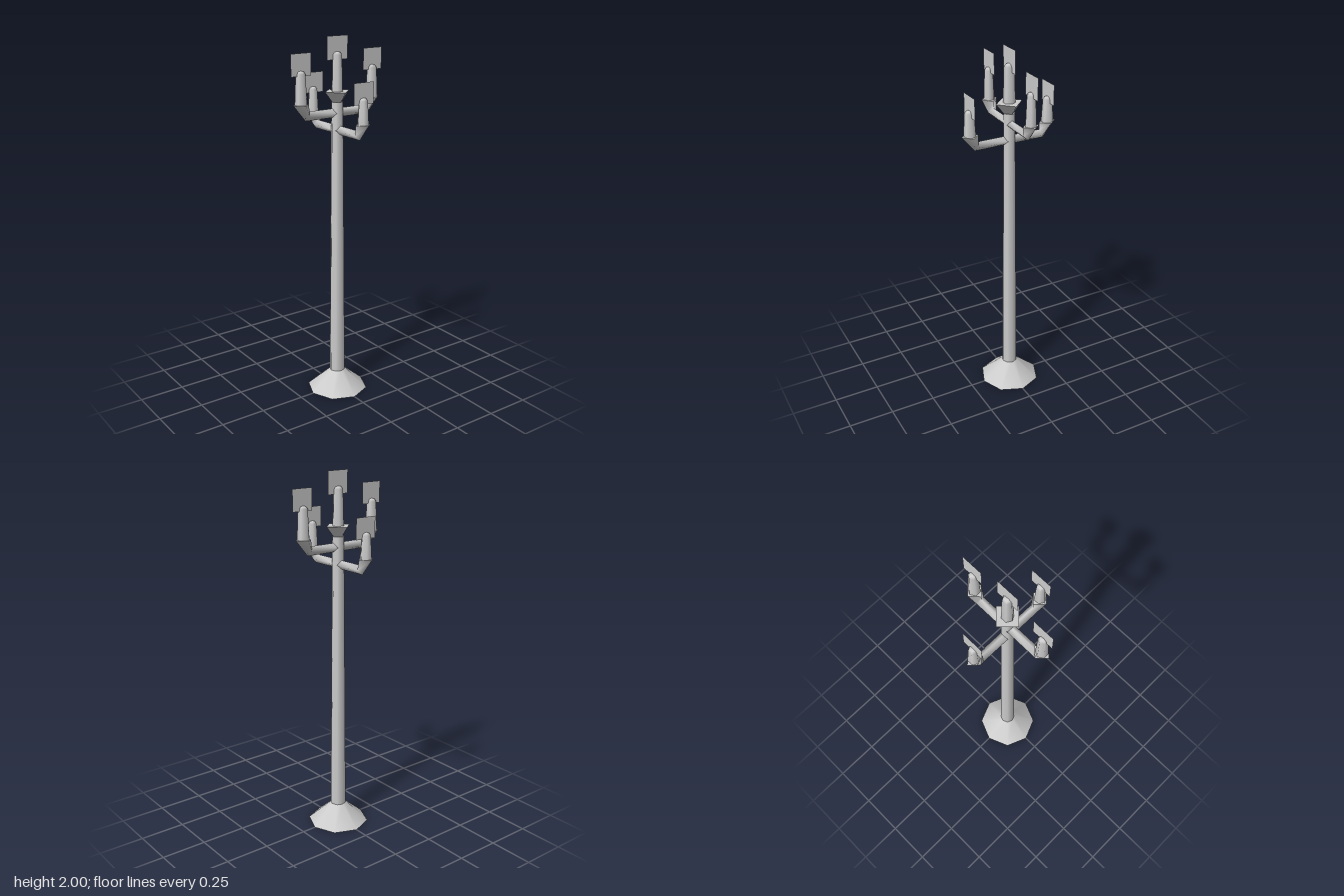
import * as THREE from 'three';

const metal = new THREE.MeshStandardMaterial({ color: 0xcccccc, side: THREE.DoubleSide });
metal.name = 'grey';

function add(parent, name, geometry, x = 0, y = 0, z = 0) {
  const mesh = new THREE.Mesh(geometry, metal);
  mesh.name = name;
  mesh.position.set(x, y, z);
  parent.add(mesh);
  return mesh;
}

// Diamond-section tube: each ring lists top, front, bottom, back corners
function armGeometry() {
  const ring = (tx, ty, bx, by, w) => [
    [tx, ty, 0], [(tx + bx) / 2, (ty + by) / 2, w],
    [bx, by, 0], [(tx + bx) / 2, (ty + by) / 2, -w],
  ];
  const end = ring(0.177, 0.06, 0.272, 0.063, 0.045);
  const rings = [
    ring(0, 0.024, 0, -0.024, 0.025),
    ring(0.178, 0.024, 0.2, -0.024, 0.025),
    end,
    end, // repeated for a sharp rim on the cup top
  ];
  const index = [];
  for (let i = 0; i < 2; i++) {
    for (let k = 0; k < 4; k++) {
      const a = i * 4 + k, b = i * 4 + (k + 1) % 4;
      index.push(a, b, b + 4, a, b + 4, a + 4);
    }
  }
  index.push(12, 13, 14, 12, 14, 15);
  const g = new THREE.BufferGeometry();
  g.setAttribute('position', new THREE.Float32BufferAttribute(rings.flat(2), 3));
  g.setIndex(index);
  g.computeVertexNormals();
  return g;
}

// Tapered candle with a small rounded tip
function candleGeometry(height, tipRadius) {
  const profile = [
    [0.032, 0], [tipRadius + 0.003, height - 0.016],
    [tipRadius * 0.75, height - 0.004], [0, height],
  ].map(([r, y]) => new THREE.Vector2(r, y));
  return new THREE.LatheGeometry(profile, 6);
}

// Upright square flame card facing sideways
function addFlame(root, size, x, y, z) {
  const [w, h] = size;
  add(root, 'flame', new THREE.PlaneGeometry(w, h).rotateY(Math.PI / 2), x, y, z);
}

export function createModel() {
  const root = new THREE.Group();
  root.name = 'candelabra';

  // Flared foot and tapering pole
  add(root, 'base', new THREE.CylinderGeometry(0.043, 0.17, 0.11, 8), 0, 0.055, 0);
  add(root, 'pole', new THREE.CylinderGeometry(0.031, 0.043, 1.56, 8), 0, 0.88, 0);

  // Central cup and candle
  add(root, 'centreCup', new THREE.CylinderGeometry(0.076, 0.03, 0.057, 4), 0, 1.687, 0);
  add(root, 'centreCandle', candleGeometry(0.205, 0.024), 0, 1.715, 0);
  addFlame(root, [0.13, 0.122], 0, 1.939, -0.002);

  // Lower pair of arms along x, upper pair along z
  const reach = 0.226;
  for (let i = 0; i < 4; i++) {
    const lower = i % 2 === 0;
    const angle = i * Math.PI / 2;
    const arm = new THREE.Group();
    arm.name = lower ? 'lowerArm' : 'upperArm';
    arm.position.y = lower ? 1.512 : 1.603;
    arm.rotation.y = angle;
    root.add(arm);
    add(arm, 'armAndCup', armGeometry());
    add(arm, 'candle', candleGeometry(lower ? 0.14 : 0.175, 0.022), reach, 0.06, 0);
    addFlame(
      root, lower ? [0.124, 0.111] : [0.121, 0.115],
      reach * Math.cos(angle), lower ? 1.733 : 1.868, -reach * Math.sin(angle) - 0.003
    );
  }
  return root;
}
